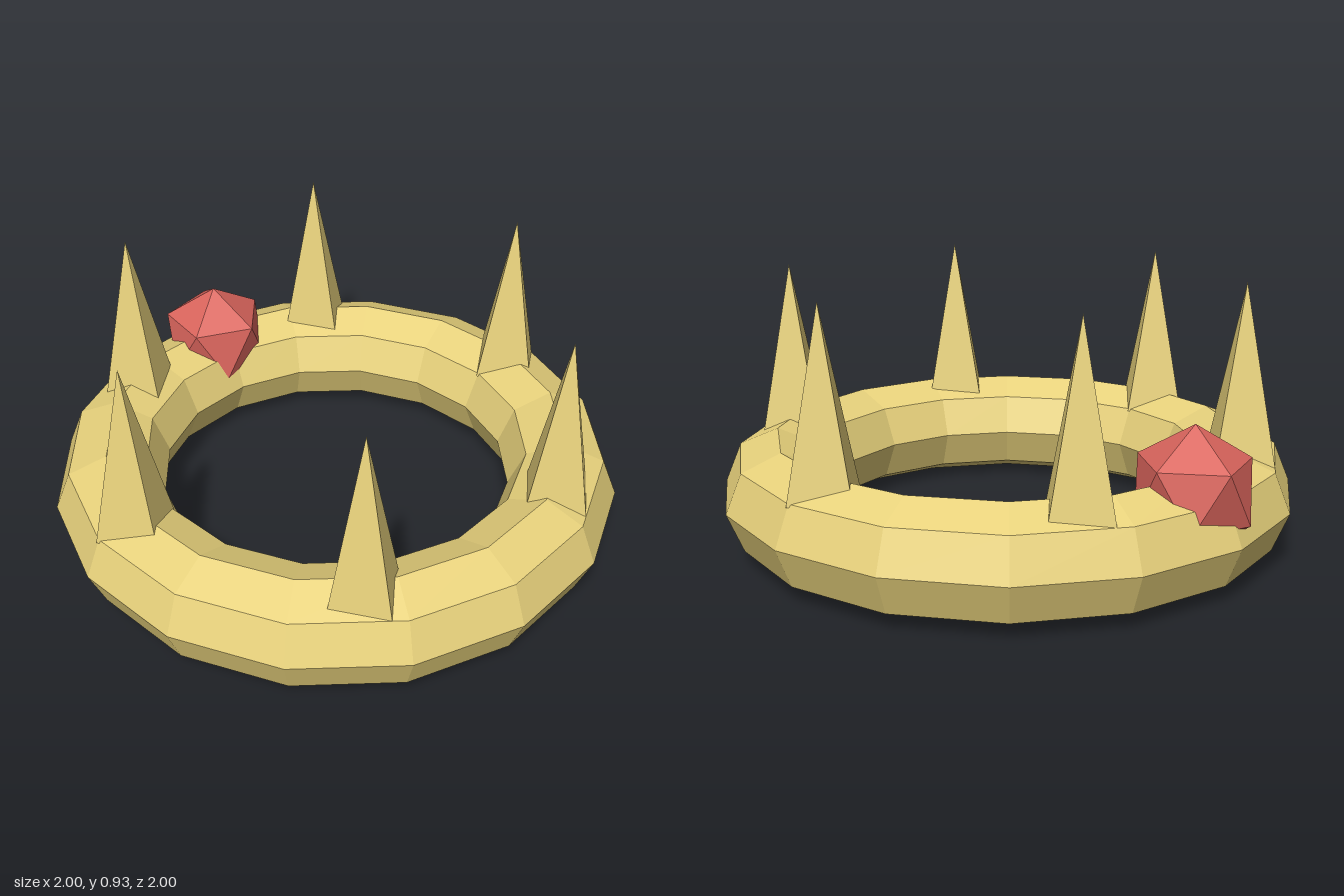
import * as THREE from 'three';

const RING_RADIUS = 0.81, TUBE = 0.19;

export function createModel() {
  const crown = new THREE.Group();
  crown.name = 'crown';
  const gold = new THREE.MeshStandardMaterial({ color: 0xe8d27c, flatShading: true });
  const red = new THREE.MeshStandardMaterial({ color: 0xd9645c, flatShading: true });

  const add = (name, geometry, material, x, y, z) => {
    const mesh = new THREE.Mesh(geometry, material);
    mesh.name = name;
    mesh.position.set(x, y, z);
    crown.add(mesh);
  };

  // faceted ring lying flat
  const band = new THREE.TorusGeometry(RING_RADIUS, TUBE, 8, 16).rotateX(Math.PI / 2);
  add('band', band, gold, 0, TUBE, 0);

  // six four-sided spikes, sunk slightly into the ring
  const height = 0.615;
  const spike = new THREE.ConeGeometry(0.144, height, 4);
  for (let i = 0; i < 6; i++) {
    const a = (i * Math.PI) / 3;
    add(`spike${i + 1}`, spike, gold,
      RING_RADIUS * Math.cos(a), 0.93 - height / 2, RING_RADIUS * Math.sin(a));
  }

  // twenty-sided jewel at the back, standing on one of its points
  const gem = new THREE.IcosahedronGeometry(0.209, 0)
    .rotateX(-Math.atan((1 + Math.sqrt(5)) / 2))
    .rotateY(Math.PI / 2);
  add('jewel', gem, red, 0, 0.34, -RING_RADIUS);

  return crown;
}
